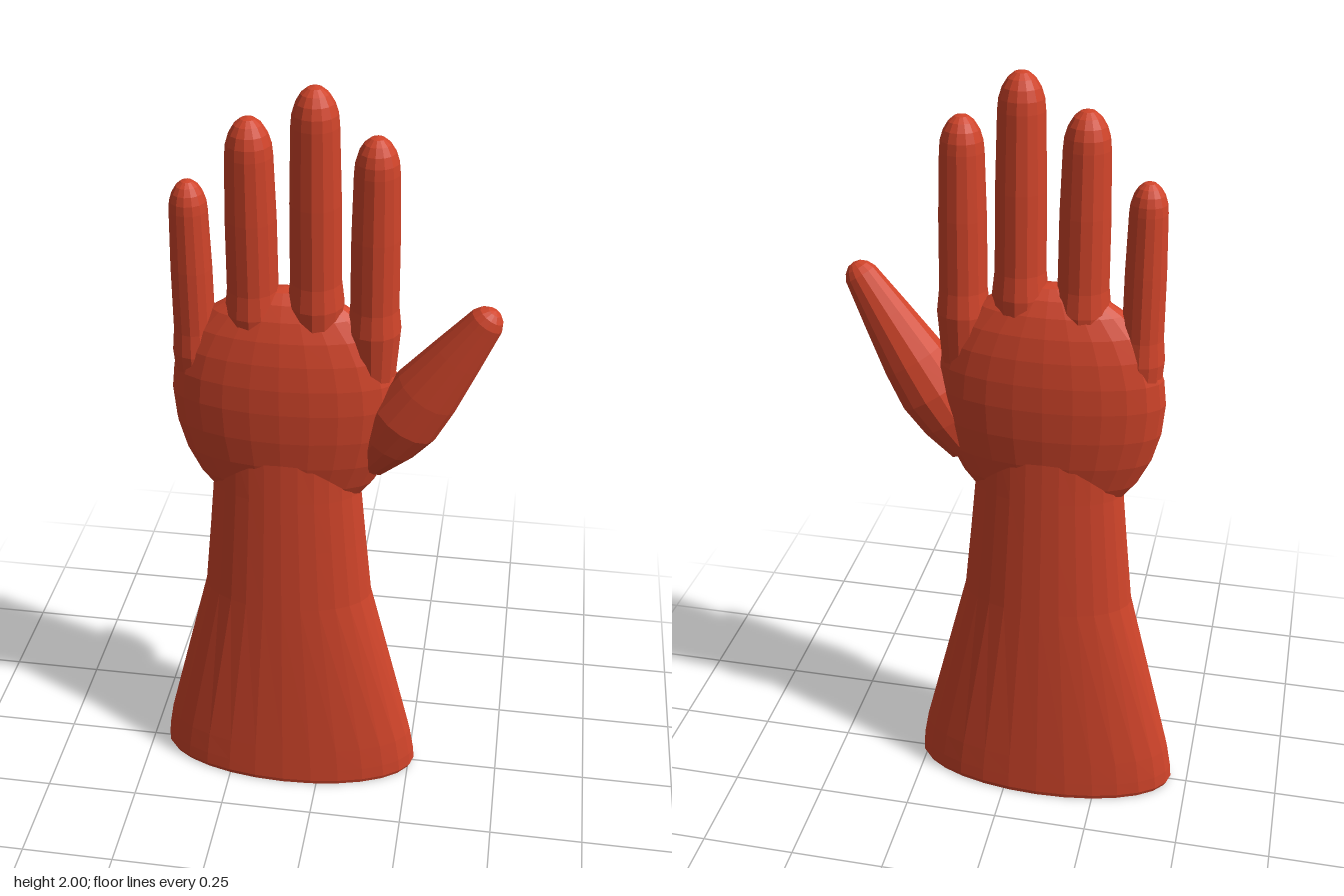
import * as THREE from 'three';

const material = new THREE.MeshStandardMaterial({ color: 0xd0442a, flatShading: true, side: THREE.DoubleSide });

// Round part turned from a [radius, height] profile
function turned(name, profile, sides) {
  const geometry = new THREE.LatheGeometry(profile.map(([r, y]) => new THREE.Vector2(r, y)), sides);
  const mesh = new THREE.Mesh(geometry, material);
  mesh.name = name;
  return mesh;
}

// Profile points of a rounded tip that starts at height y and closes on the axis
function dome(r, y, height, steps = 5) {
  return Array.from({ length: steps }, (_, i) => {
    const a = ((i + 1) / steps) * Math.PI / 2;
    return [i === steps - 1 ? 0 : r * Math.cos(a), y + height * Math.sin(a)];
  });
}

export function createModel() {
  const group = new THREE.Group();
  const cx = -0.095;

  // Flared, hollow oval cuff with a thin rolled rim
  const cuff = turned('cuff', [
    [0.342, 0.03], [0.345, 0.004], [0.353, 0], [0.36, 0.012], [0.357, 0.05], [0.345, 0.12],
    [0.226, 0.6], [0.208, 0.78], [0.194, 0.93], [0.192, 1.06],
  ], 28);
  const cuffPos = cuff.geometry.attributes.position;
  for (let i = 0; i < cuffPos.count; i++) {
    // the depth narrows less than the width towards the wrist
    const y = cuffPos.getY(i);
    const r = Math.hypot(cuffPos.getX(i), cuffPos.getZ(i));
    cuffPos.setZ(i, cuffPos.getZ(i) / r * (0.145 - 0.045 * y - 0.4 * Math.max(0, 0.36 - r) * (y < 0.04 ? 1 : 0)));
  }
  cuff.geometry.computeVertexNormals();
  cuff.position.x = cx;
  group.add(cuff);

  // Flattened egg-shaped palm, longer towards the wrist
  const palmGeometry = new THREE.SphereGeometry(1, 24, 14);
  const palmPos = palmGeometry.attributes.position;
  for (let i = 0; i < palmPos.count; i++) {
    const y = palmPos.getY(i);
    palmPos.setXYZ(i, palmPos.getX(i) * 0.29, y * (y > 0 ? 0.3 : 0.37), palmPos.getZ(i) * 0.108);
  }
  palmGeometry.computeVertexNormals();
  const palm = new THREE.Mesh(palmGeometry, material);
  palm.name = 'palm';
  palm.position.set(cx, 1.195, 0);
  group.add(palm);

  // Four fingers: [name, x, radius, base height, web height, tip height]
  const fingers = [
    ['littleFinger', -0.32, 0.05, 1.2, 1.31, 1.76],
    ['ringFinger', -0.172, 0.061, 1.3, 1.43, 1.92],
    ['middleFinger', -0.018, 0.061, 1.3, 1.46, 2.0],
    ['indexFinger', 0.124, 0.058, 1.27, 1.4, 1.89],
  ];
  for (const [name, x, r, base, web, top] of fingers) {
    const tip = r * 1.5;
    const finger = turned(name, [
      [r * 0.95, 0], [r * 1.13, web - base], [r * 1.02, web - base + 0.06],
      [r, (top - base) * 0.6], [r * 0.92, top - base - tip],
      ...dome(r * 0.92, top - base - tip, tip),
    ], 14);
    finger.position.set(x, base, 0);
    finger.rotation.x = 0.025;
    group.add(finger);
  }

  // Thumb, blunt at the wrist and tapering outwards
  const thumb = turned('thumb', [
    [0, 0], [0.054, 0], [0.082, 0.09], [0.094, 0.17], [0.085, 0.27], [0.064, 0.4], [0.047, 0.5],
    ...dome(0.047, 0.5, 0.056, 4),
  ], 14);
  thumb.geometry.scale(1, 1, 0.88);
  const direction = new THREE.Vector3(0.3, 0.47, 0.04).normalize();
  thumb.quaternion.setFromUnitVectors(new THREE.Vector3(0, 1, 0), direction);
  thumb.position.set(0.115, 1.02, 0.0);
  group.add(thumb);

  return group;
}
